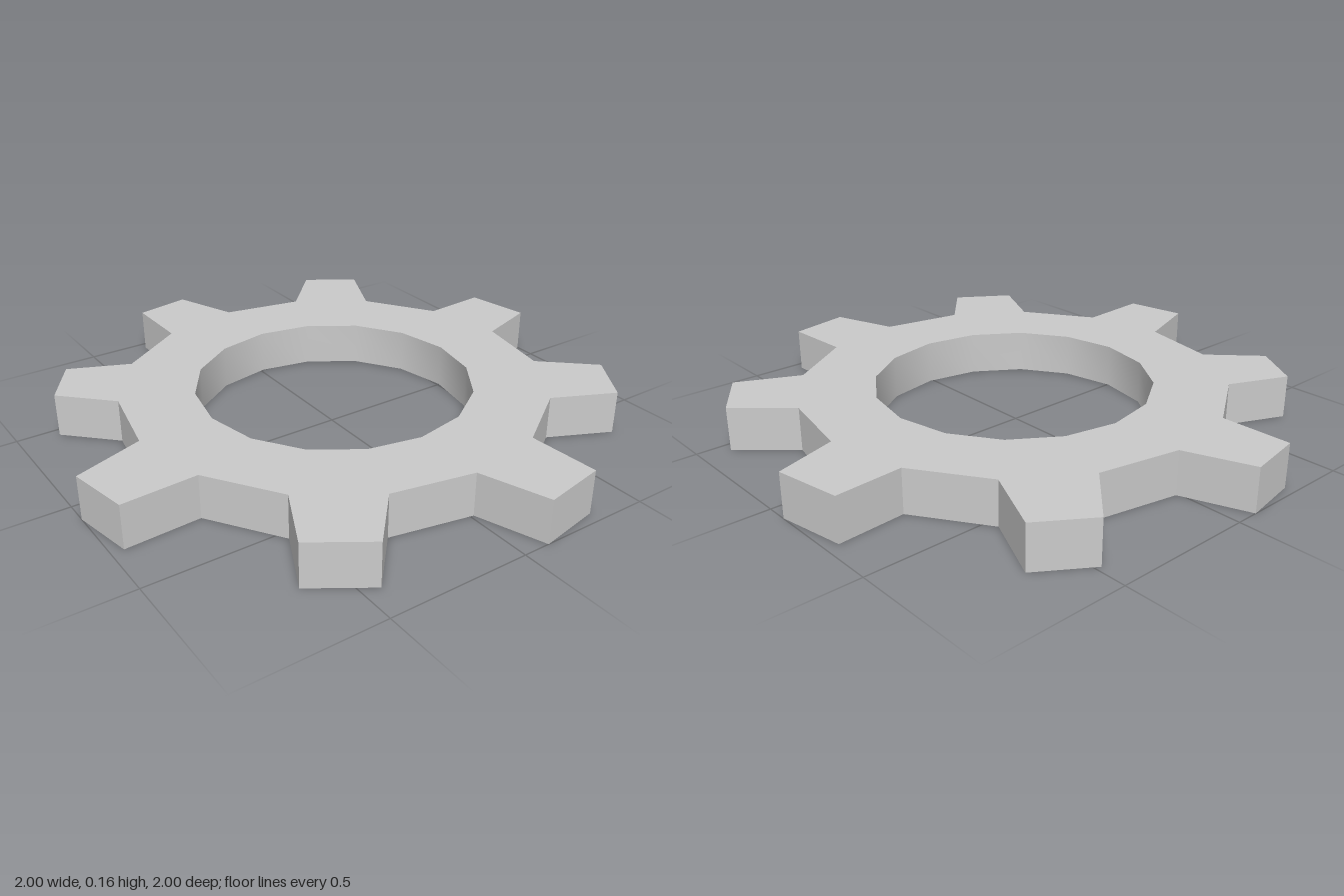
import * as THREE from 'three';
import { toCreasedNormals } from 'three/addons/utils/BufferGeometryUtils.js';

const CENTRE = [0.012, -0.003]; // x, z of the bore
const ROOT_RADIUS = 0.762;
const BORE_RADIUS = 0.497;
const THICKNESS = 0.157;

// Slightly uneven tooth tips: x, z of both corners, counter-clockwise from above
const TIPS = [
  [0.999, -0.076, 0.956, -0.311],
  [0.657, -0.776, 0.48, -0.894],
  [-0.08, -1.0, -0.284, -0.963],
  [-0.744, -0.637, -0.857, -0.461],
  [-1.0, 0.085, -0.958, 0.304],
  [-0.632, 0.753, -0.44, 0.881],
  [0.095, 1.0, 0.32, 0.956],
  [0.774, 0.641, 0.897, 0.453],
];

// Point on a circle about the bore, step counted in sixteenths of a turn
function ringPoint(radius, step) {
  const a = (step * Math.PI) / 8;
  return new THREE.Vector2(CENTRE[0] + radius * Math.cos(a), -CENTRE[1] + radius * Math.sin(a));
}

export function createModel() {
  const group = new THREE.Group();
  group.name = 'gear';

  // Toothed outline: root, two tip corners, root for each tooth
  const outline = TIPS.flatMap(([x1, z1, x2, z2], i) => {
    // The second tooth starts at the 45 degree root
    return [
      ringPoint(ROOT_RADIUS, i * 2),
      new THREE.Vector2(x1, -z1),
      new THREE.Vector2(x2, -z2),
      ringPoint(ROOT_RADIUS, i * 2 + 1),
    ];
  });
  const shape = new THREE.Shape(outline);

  // Sixteen-sided bore
  const bore = Array.from({ length: 16 }, (_, i) => ringPoint(BORE_RADIUS, -i));
  shape.holes.push(new THREE.Path(bore));

  // Lay the extruded outline flat; the bore wall shades smoothly
  const extruded = new THREE.ExtrudeGeometry(shape, { depth: THICKNESS, bevelEnabled: false });
  extruded.rotateX(-Math.PI / 2);
  const geometry = toCreasedNormals(extruded, 0.5);

  const mesh = new THREE.Mesh(geometry, new THREE.MeshStandardMaterial({ color: 0xcccccc }));
  mesh.name = 'gearWheel';
  group.add(mesh);
  return group;
}
